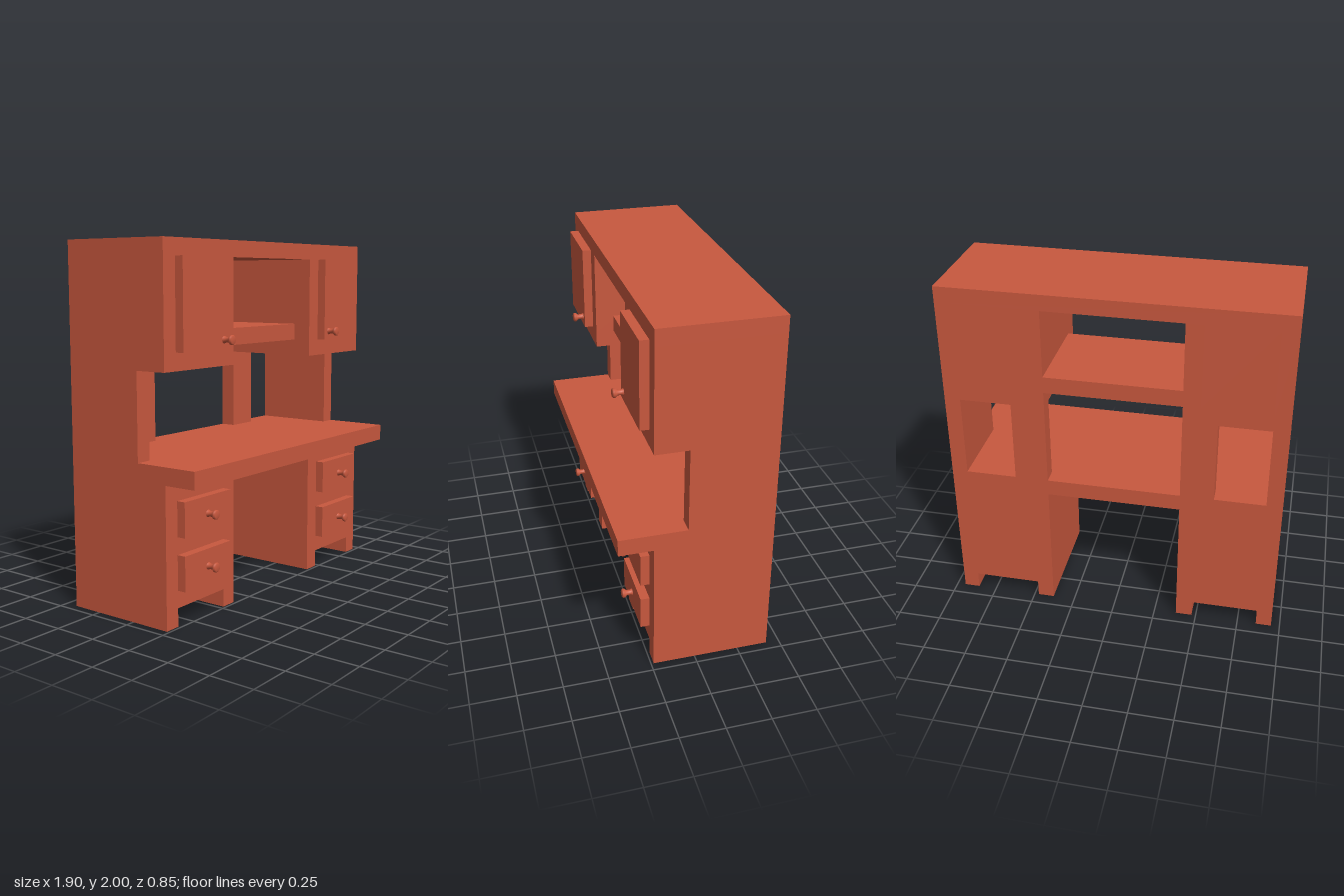
import * as THREE from 'three';

const material = new THREE.MeshStandardMaterial({ color: 0xc8583e });
const BACK = -0.425, FRONT = 0.235, DOOR = 0.285;

// Box given by its limits on each axis
function box(parent, name, [x0, x1], [y0, y1], [z0, z1]) {
  const mesh = new THREE.Mesh(new THREE.BoxGeometry(x1 - x0, y1 - y0, z1 - z0), material);
  mesh.position.set((x0 + x1) / 2, (y0 + y1) / 2, (z0 + z1) / 2);
  mesh.name = name;
  parent.add(mesh);
}

// Turned knob: slim neck flaring to a rounded head
const knobProfile = [[0.02, 0], [0.015, 0.012], [0.015, 0.032], [0.026, 0.045], [0.026, 0.055], [0.02, 0.061], [0, 0.061]]
  .map(([r, h]) => new THREE.Vector2(r, h));
const knobGeometry = new THREE.LatheGeometry(knobProfile, 20).rotateX(Math.PI / 2);

function knob(parent, name, x, y) {
  const mesh = new THREE.Mesh(knobGeometry, material);
  mesh.position.set(x, y, DOOR);
  mesh.name = name;
  parent.add(mesh);
}

export function createModel() {
  const desk = new THREE.Group();
  desk.name = 'deskWithHutch';

  // Full-width slabs and the shelf between the cabinets
  box(desk, 'hutchTop', [-0.95, 0.95], [1.91, 2], [BACK, FRONT]);
  box(desk, 'desktop', [-0.95, 0.95], [0.765, 0.86], [BACK, 0.425]);
  box(desk, 'middleShelf', [-0.38, 0.38], [1.43, 1.525], [BACK, 0.13]);

  for (const [side, s] of [['left', 1], ['right', -1]]) {
    const half = new THREE.Group();
    half.name = side + 'Side';
    const span = (a, b) => (s > 0 ? [a, b] : [-b, -a]);
    const outer = span(0.86, 0.95), inner = span(0.38, 0.475), between = span(0.475, 0.86);
    const depth = [BACK, FRONT];

    // Drawer pedestal
    box(half, 'pedestalOuterPanel', outer, [0, 0.765], depth);
    box(half, 'pedestalInnerPanel', inner, [0, 0.765], depth);
    for (const y of [0.1, 0.385, 0.67]) box(half, 'pedestalRail', between, [y, y + 0.095], depth);
    for (const y of [0.195, 0.48]) {
      box(half, 'drawer', between, [y, y + 0.19], [BACK, DOOR]);
      knob(half, 'drawerKnob', s * 0.667, y + 0.095);
    }

    // Supports between desktop and cabinet
    box(half, 'hutchSidePanel', outer, [0.86, 1.335], [BACK, 0.05]);
    box(half, 'hutchBackPost', span(0.38, 0.57), [0.86, 1.335], [BACK, -0.335]);

    // Upper cabinet
    box(half, 'cabinetBase', span(0.38, 0.95), [1.335, 1.43], depth);
    box(half, 'cabinetOuterPanel', outer, [1.43, 1.91], depth);
    box(half, 'cabinetInnerPanel', inner, [1.43, 1.91], depth);
    box(half, 'cabinetBody', between, [1.43, 1.91], depth);
    box(half, 'cabinetDoor', between, [1.43, 1.91], [FRONT, DOOR]);
    knob(half, 'doorKnob', s * 0.525, 1.48);

    desk.add(half);
  }
  return desk;
}
